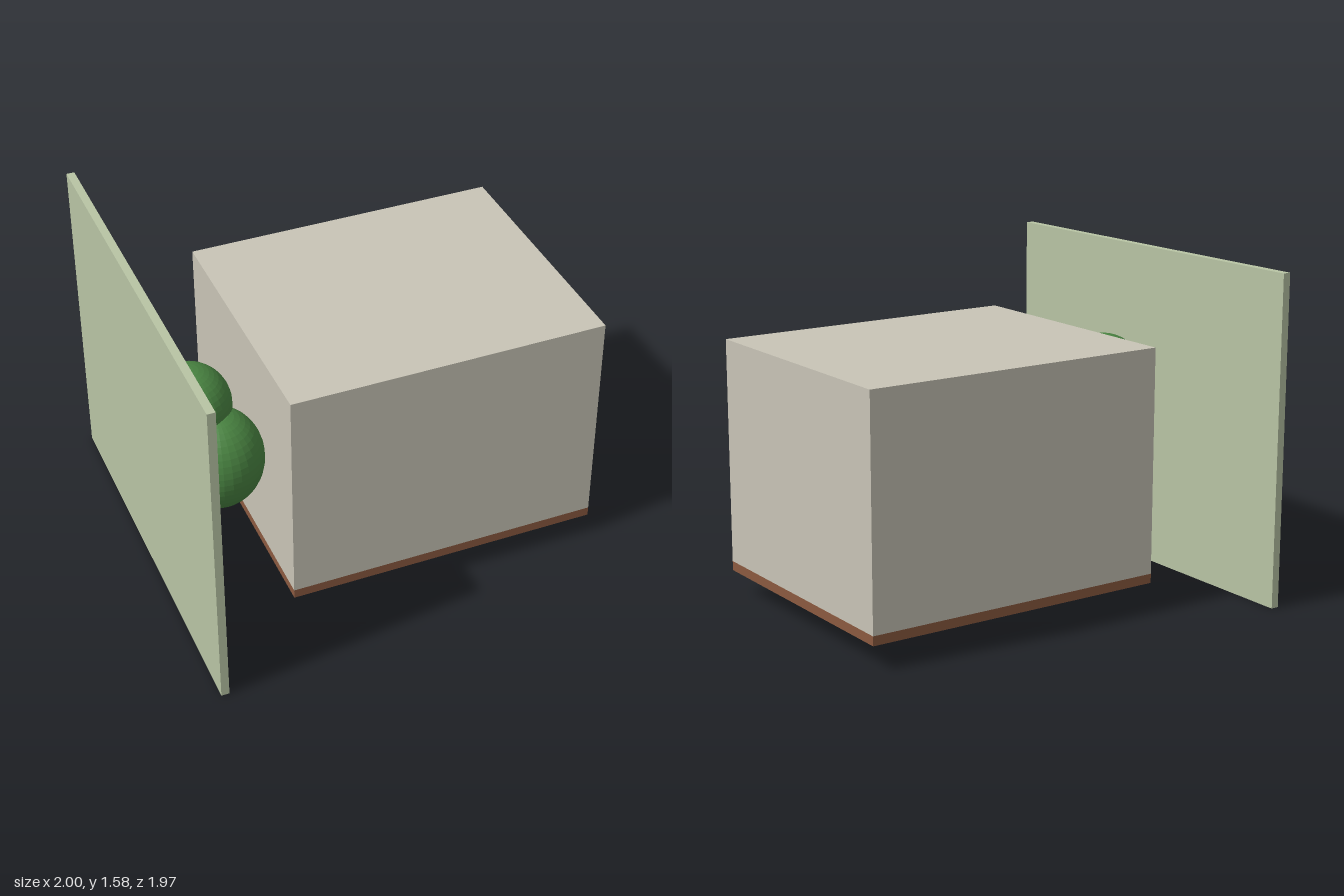
import * as THREE from 'three';

const material = (name, color, flatShading = false) => {
  const m = new THREE.MeshStandardMaterial({ color, flatShading });
  m.name = name;
  return m;
};

export function createModel() {
  const group = new THREE.Group();
  const stone = material('warm grey', 0xc8c4b6);
  const sage = material('sage green', 0xb8c4a4);
  const brown = material('brown', 0x8b5a40);
  const leaf = material('leaf green', 0x4a8542, true);

  // Box given by its lower and upper corners
  const addBox = (name, [x0, y0, z0], [x1, y1, z1], mat) => {
    const mesh = new THREE.Mesh(new THREE.BoxGeometry(x1 - x0, y1 - y0, z1 - z0), mat);
    mesh.position.set((x0 + x1) / 2, (y0 + y1) / 2, (z0 + z1) / 2);
    mesh.name = name;
    group.add(mesh);
  };

  // Standing panel, main block and the thin slab beneath it
  addBox('sidePanel', [-1, 0, -0.985], [-0.962, 1.58, 0.985], sage);
  addBox('mainBlock', [-0.516, 0.16, -0.638], [1, 1.235, 0.638], stone);
  addBox('baseSlab', [-0.516, 0.115, -0.638], [1, 0.16, 0.638], brown);

  // Foliage between the panel and the block
  const foliage = new THREE.Group();
  foliage.name = 'foliage';
  const ball = new THREE.SphereGeometry(1, 32, 24);
  const clumps = [
    ['upperClump', [-0.805, 0.95, 0.115], [0.195, 0.195, 0.195]],
    ['middleClump', [-0.722, 0.71, 0.235], [0.216, 0.245, 0.214]],
    ['lowerClump', [-0.765, 0.595, -0.045], [0.175, 0.175, 0.175]],
  ];
  for (const [name, centre, radii] of clumps) {
    const mesh = new THREE.Mesh(ball, leaf);
    mesh.position.set(...centre);
    mesh.scale.set(...radii);
    mesh.name = name;
    foliage.add(mesh);
  }
  group.add(foliage);

  return group;
}
